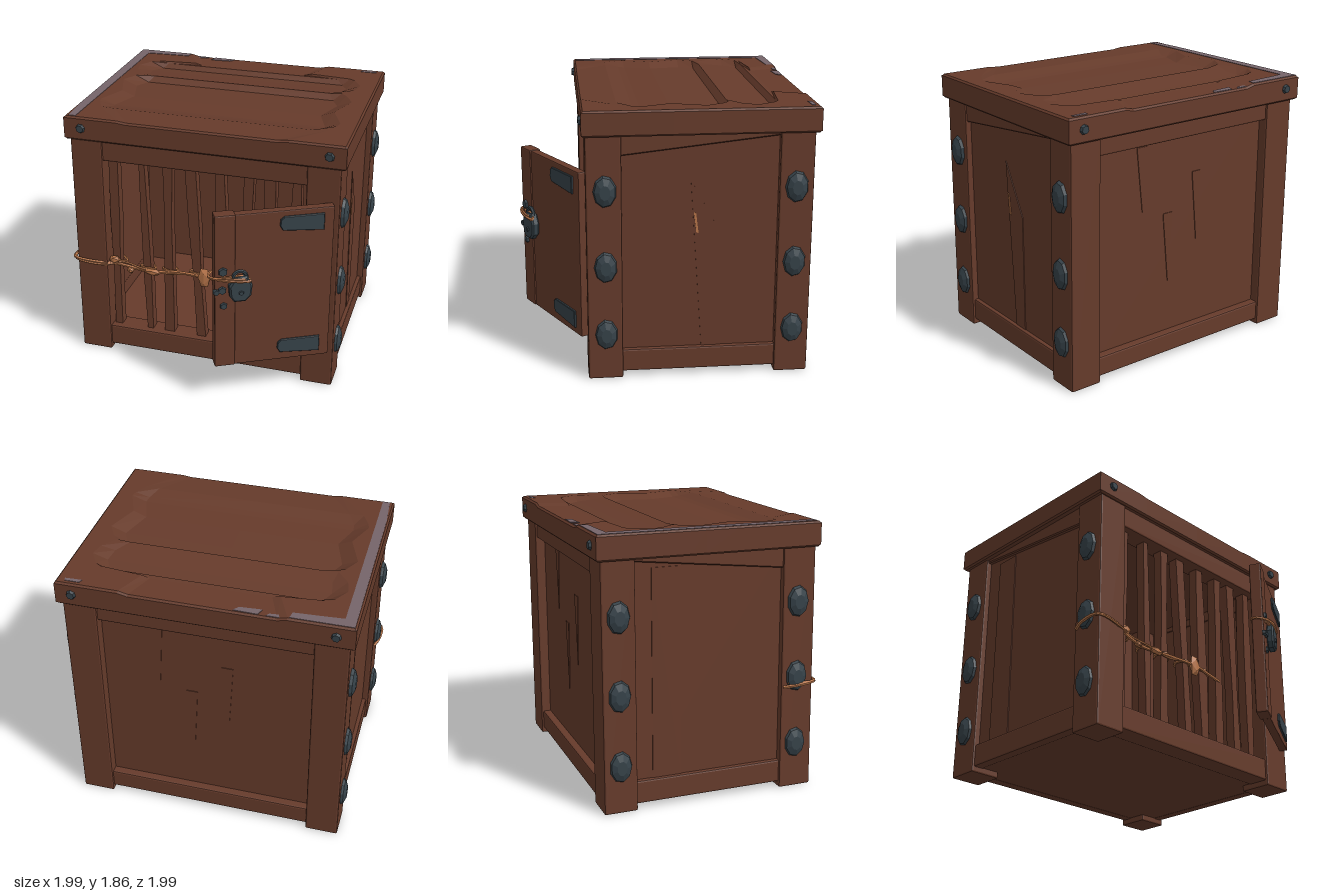
import * as THREE from 'three';
import { RoundedBoxGeometry } from 'three/addons/geometries/RoundedBoxGeometry.js';

export function createModel() {
  const crate = new THREE.Group();
  crate.name = 'crate';
  const mat = (name, color) => {
    const m = new THREE.MeshStandardMaterial({ color });
    m.name = name;
    return m;
  };
  const wood = mat('wood', 0x663b2b);
  const iron = mat('iron', 0x364249);
  const rope = mat('rope', 0xb9764a);
  const frost = mat('frost', 0x75646a);

  // Faceted mesh with hard normals
  const add = (name, geo, material, x = 0, y = 0, z = 0, parent = crate) => {
    const g = geo.index ? geo.toNonIndexed() : geo;
    g.computeVertexNormals();
    const mesh = new THREE.Mesh(g, material);
    mesh.name = name;
    mesh.position.set(x, y, z);
    parent.add(mesh);
    return mesh;
  };
  // Chamfered wooden block given by its limits
  const block = (name, x0, x1, y0, y1, z0, z1, c = 0.012, parent = crate) =>
    add(name, new RoundedBoxGeometry(x1 - x0, y1 - y0, z1 - z0, 1, c), wood,
      (x0 + x1) / 2, (y0 + y1) / 2, (z0 + z1) / 2, parent);
  const slab = (pts, depth, bevel = 0) => new THREE.ExtrudeGeometry(
    new THREE.Shape(pts.map(([x, y]) => new THREE.Vector2(x, y))), {
      depth: depth - 2 * bevel, bevelEnabled: bevel > 0, bevelSize: bevel,
      bevelThickness: bevel, bevelOffset: -bevel, bevelSegments: 1,
    }).translate(0, 0, bevel);

  // Corner posts, a touch wider at the feet
  for (const sx of [-1, 1]) for (const [z0, z1] of [[0.315, 0.55], [-0.95, -0.72]]) {
    const g = new RoundedBoxGeometry(0.23, 1.705, z1 - z0, 1, 0.012);
    const p = g.attributes.position;
    for (let i = 0; i < p.count; i++) if (p.getY(i) > 0) p.setX(i, p.getX(i) - sx * 0.005);
    add('cornerPost', g, wood, sx * 0.84, 0.8525, (z0 + z1) / 2);
  }

  // Floor and rails
  block('floor', -0.9, 0.9, 0.045, 0.1, -0.9, 0.52, 0.005);
  block('frontBottomRail', -0.735, 0.735, 0.04, 0.2, 0.38, 0.535);
  block('frontTopRail', -0.735, 0.735, 1.54, 1.7, 0.38, 0.535);
  block('backBottomRail', -0.735, 0.735, 0.04, 0.18, -0.935, -0.85);
  block('backTopRail', -0.735, 0.735, 1.57, 1.7, -0.935, -0.85);
  for (const sx of [-1, 1]) {
    block('sideBottomRail', ...(sx > 0 ? [0.86, 0.938] : [-0.938, -0.86]), 0.04, 0.2, -0.73, 0.325);
    // Wedge-shaped upper rail
    add('sideTopRail', slab([[-0.325, 1.555], [0.73, 1.67], [0.73, 1.7], [-0.325, 1.7]], 0.078, 0.008)
      .rotateY(Math.PI / 2), wood, sx > 0 ? 0.86 : -0.938, 0, 0);
    block('sideWall', ...(sx > 0 ? [0.865, 0.908] : [-0.908, -0.865]), 0.1, 1.69, -0.73, 0.325, 0.005);
  }
  block('backWall', -0.735, 0.735, 0.1, 1.69, -0.878, -0.84, 0.005);

  // Split boards and cracks standing slightly off the walls
  add('rightWallSplit', slab([[0.14, 1.38], [0.22, 0.2], [0.33, 0.2], [0.33, 1.03]], 0.008)
    .rotateY(Math.PI / 2), wood, 0.905, 0, 0);
  add('splinter', slab([[0.16, 1.16], [0.178, 1.02], [0.194, 1.01], [0.176, 1.15]], 0.006)
    .rotateY(Math.PI / 2), rope, 0.911, 0, 0);
  add('leftWallBoard', slab([[0.4, 0.2], [0.6, 0.2], [0.6, 1.62], [0.42, 1.62]], 0.008)
    .rotateY(Math.PI / 2), wood, -0.914, 0, 0);
  for (const [x, y, h] of [[0.33, 1.1, 0.45], [0.1, 0.55, 0.5], [-0.15, 0.8, 0.5]]) {
    add('backWallCrack', slab([[x, y], [x + 0.05, y + h], [x - 0.03, y + h]], 0.007), wood, 0, 0, -0.883);
  }

  // Front bars, each a little crooked: x, width, lean
  [[-0.675, 0.06, 0.01], [-0.445, 0.05, -0.02], [-0.275, 0.065, 0.01], [-0.07, 0.07, -0.05],
    [0.12, 0.08, -0.02], [0.3, 0.07, 0.02], [0.47, 0.07, -0.015], [0.64, 0.07, 0.01],
  ].forEach(([x, w, lean], i) => {
    const g = new THREE.BoxGeometry(w, 1.38, 0.07, 1, 3, 1);
    const p = g.attributes.position;
    for (let k = 0; k < p.count; k++) {
      const y = p.getY(k);
      p.setX(k, p.getX(k) * (1 + 0.2 * Math.sin(y * 4 + i * 2)) + lean * y);
    }
    add('frontBar', g, wood, x, 0.87, 0.45);
  });

  // Lid: one block whose top follows rows of z, half width of the hollow, depth
  const rows = [[-0.98, 0.55, 0.015], [-0.967, 0.55, 0.015], [-0.76, 0.46, 0.015], [-0.73, 0.76, 0.012],
    [-0.7, 0.8, 0.045], [-0.6, 0.86, 0.035], [-0.5, 0.84, 0.022], [-0.4, 0.76, 0.006],
    [-0.36, 0.8, 0.045], [-0.25, 0.86, 0.042], [-0.02, 0.78, 0.036], [0.18, 0.86, 0.036],
    [0.23, 0.85, 0.028], [0.33, 0.8, 0.004], [0.557, 0.6, 0.008], [0.57, 0.6, 0.008]];
  const last = rows.length - 1;
  const lid = new THREE.BoxGeometry(1, 1, 1, 8, 1, last);
  const lp = lid.attributes.position;
  for (let i = 0; i < lp.count; i++) {
    const c = Math.round((lp.getX(i) + 0.5) * 8);
    const r = Math.round((lp.getZ(i) + 0.5) * last);
    const [z, w, d] = rows[r];
    const edge = c === 0 || c === 8 || r === 0 || r === last ? 0.012 : 0;
    const x = [-0.982, -0.97, -w, -w * 0.88, 0, w * 0.88, w, 0.97, 0.982][c];
    const top = 1.86 - (c > 2 && c < 6 ? d : 0) - edge;
    lp.setXYZ(i, x, lp.getY(i) > 0 ? top : 1.69 + edge, z);
  }
  add('lid', lid, wood);

  // Frost patches on the lid: plan outlines (x, z)
  for (const [y, pts] of [
    [1.857, [[-0.968, -0.965], [-0.56, -0.965], [-0.57, -0.91], [-0.75, -0.9], [-0.895, -0.89],
      [-0.9, 0.3], [-0.9, 0.55], [-0.95, 0.55], [-0.965, 0.3]]],
    [1.843, [[-0.54, -0.965], [-0.41, -0.965], [-0.43, -0.94], [-0.53, -0.93]]],
    [1.843, [[-0.36, -0.965], [-0.2, -0.96], [-0.23, -0.92], [-0.38, -0.91]]],
    [1.857, [[0.82, -0.945], [0.92, -0.945], [0.925, -0.92], [0.81, -0.915]]],
  ]) {
    add('frostPatch', slab(pts.map(([x, z]) => [x, -z]), 0.006).rotateX(-Math.PI / 2), frost, 0, y, 0);
  }

  // Big faceted studs on the side posts
  for (const sx of [-1, 1]) for (const z of [0.425, -0.835]) for (const y of [0.325, 0.805, 1.325]) {
    const stud = new THREE.Group();
    stud.name = 'sideStud';
    stud.position.set(sx * 0.945, y, z);
    stud.rotation.z = -sx * Math.PI / 2;
    stud.scale.set(1, 1, 0.71);
    add('studRim', new THREE.CylinderGeometry(0.098, 0.113, 0.026, 9), iron, 0, 0.013, 0, stud);
    add('studCap', new THREE.CylinderGeometry(0.05, 0.098, 0.018, 9), iron, 0, 0.035, 0, stud);
    crate.add(stud);
  }
  // Small lid nails
  for (const x of [-0.86, 0.87]) for (const [z, s] of [[0.57, 1], [-0.98, -1]]) {
    add('lidNail', new THREE.CylinderGeometry(0.026, 0.036, 0.024, 7).rotateX(s * Math.PI / 2), iron, x, 1.78, z + s * 0.006);
  }

  // Open door, hinged on the right post
  const door = new THREE.Group();
  door.name = 'door';
  door.position.set(0.895, 0, 0.575);
  door.rotation.y = 0.485;
  crate.add(door);
  block('doorPlank', -0.65, 0.02, 0.3, 1.45, -0.03, 0.03, 0.008, door);
  block('doorEdgePlank', -0.787, -0.645, 0.3, 1.455, -0.045, 0.04, 0.01, door);
  for (const y of [0.345, 1.29]) {
    add('hingeStrap', slab([[-0.05, 0], [-0.05, 0.12], [-0.32, 0.12], [-0.345, 0.1], [-0.35, 0.055], [-0.33, 0.02]], 0.02, 0.004),
      iron, 0, y, 0.024, door);
  }
  for (const [x, y, r] of [[-0.73, 1.045, 0.038], [-0.735, 0.905, 0.034], [-0.775, 0.895, 0.026], [-0.725, 0.785, 0.03]]) {
    add('doorNail', new THREE.CylinderGeometry(r * 0.75, r, 0.025, 6).rotateX(Math.PI / 2), iron, x, y, 0.042, door);
  }
  // Padlock
  add('padlockBody', slab([[-0.045, 0.83], [0.03, 0.83], [0.07, 0.87], [0.078, 0.95], [0.045, 1.02], [-0.045, 1.01], [-0.082, 0.95], [-0.075, 0.87]],
    0.055, 0.012), iron, -0.615, 0, 0.035, door);
  add('padlockShackle', new THREE.TorusGeometry(0.045, 0.013, 6, 10, Math.PI), iron, -0.62, 1.005, 0.06, door);
  add('keyhole', new THREE.CylinderGeometry(0.015, 0.02, 0.012, 6).rotateX(Math.PI / 2), iron, -0.615, 0.9, 0.092, door);

  // Frayed ropes
  const cord = (name, pts, r, closed = false, parent = crate) => add(name, new THREE.TubeGeometry(
    new THREE.CatmullRomCurve3(pts.map((p) => new THREE.Vector3(...p)), closed), 40, r, 5, closed), rope, 0, 0, 0, parent);
  cord('frontRope', [[-0.955, 0.73, 0.33], [-0.985, 0.745, 0.42], [-0.97, 0.76, 0.555], [-0.8, 0.745, 0.56], [-0.66, 0.725, 0.51],
    [-0.5, 0.7, 0.5], [-0.38, 0.7, 0.51], [-0.2, 0.72, 0.5], [0, 0.72, 0.515], [0.18, 0.705, 0.5], [0.3, 0.7, 0.48]], 0.012);
  cord('frontRopeStrand', [[-0.96, 0.76, 0.36], [-0.965, 0.755, 0.56], [-0.75, 0.73, 0.56], [-0.62, 0.74, 0.5], [-0.45, 0.715, 0.515],
    [-0.25, 0.7, 0.5], [-0.1, 0.725, 0.5], [0.05, 0.71, 0.51], [0.2, 0.715, 0.49]], 0.008);
  for (const [x, y] of [[-0.665, 0.735], [-0.445, 0.705], [-0.275, 0.71], [-0.07, 0.72], [0.12, 0.71]]) {
    cord('barLoop', [[x - 0.055, y, 0.45], [x, y + 0.015, 0.505], [x + 0.055, y - 0.01, 0.45], [x, y, 0.4]], 0.01, true);
  }
  for (const [x, y, w, h] of [[-0.68, 0.76, 0.09, 0.07], [-0.39, 0.7, 0.14, 0.055], [-0.56, 0.69, 0.06, 0.05], [0, 0.715, 0.1, 0.17]]) {
    add('ropeKnot', new THREE.IcosahedronGeometry(0.5, 0).scale(w, h, 0.05), rope, x, y, 0.515);
  }
  cord('doorRope', [[-0.82, 1, 0], [-0.765, 1.0, 0.06], [-0.66, 0.995, 0.095], [-0.55, 0.985, 0.085],
    [-0.6, 1.01, 0.06], [-0.72, 1.005, 0.05], [-0.785, 1.01, -0.05]], 0.01, true, door);
  cord('doorRopeStrand', [[-0.81, 0.99, 0.02], [-0.75, 1.01, 0.065], [-0.62, 1.005, 0.095], [-0.56, 0.99, 0.07]], 0.008, false, door);

  return crate;
}
